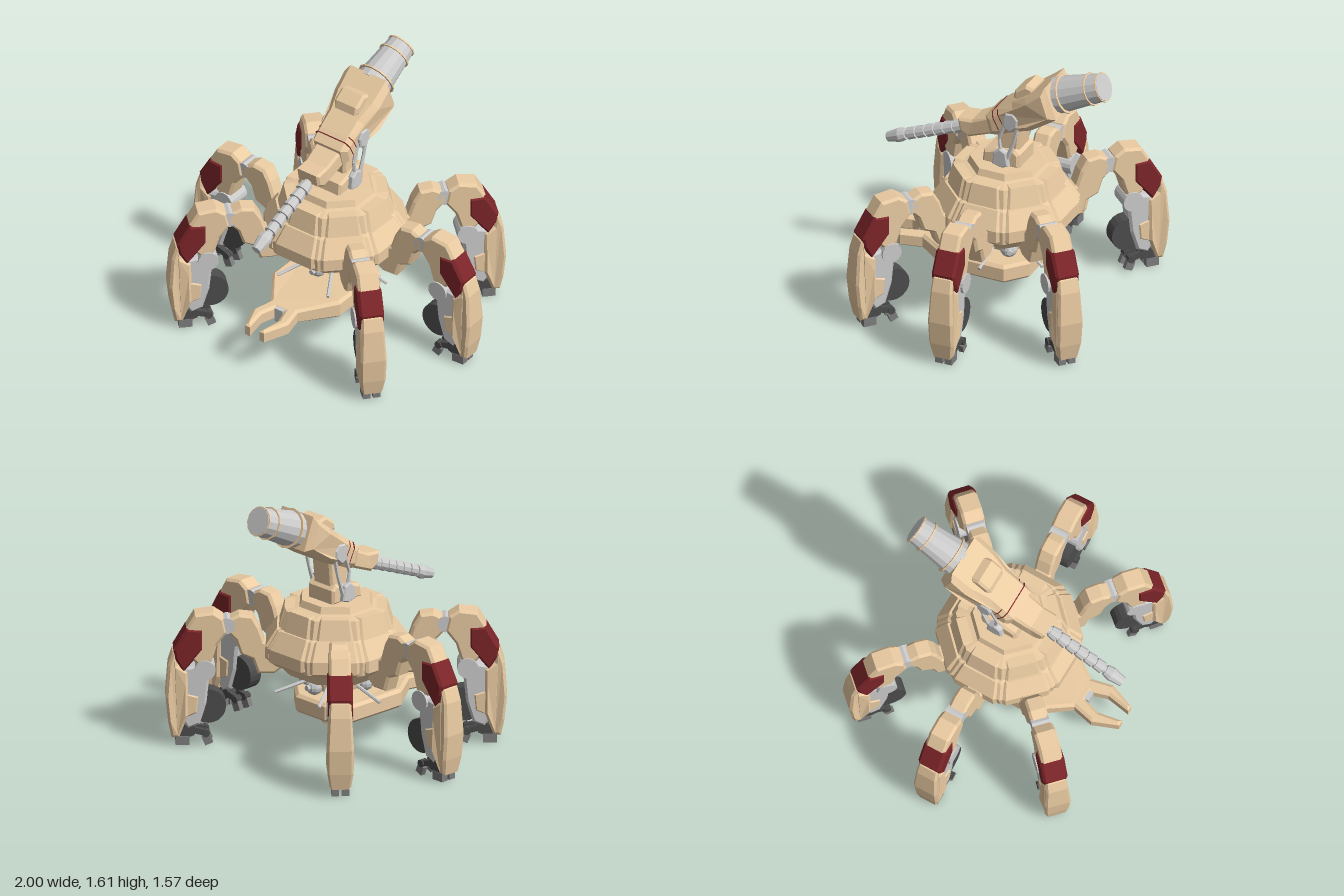
import * as THREE from 'three';

const mat = (color) => new THREE.MeshStandardMaterial({ color, flatShading: true });
const TAN = mat(0xeacba2), RED = mat(0x7c2529), GREY = mat(0xcccccc), DARK = mat(0x4c4c4c), STEEL = mat(0x7d7d7d);
const V = (x, y, z) => new THREE.Vector3(x, y, z);

function add(parent, name, geo, material) {
  const m = new THREE.Mesh(geo, material);
  m.name = name;
  parent.add(m);
  return m;
}

// chamfered plate: outline in x/y, centred thickness w along z, optional taper rule
function plateGeo(pts, w, taper, bevel = 0.015) {
  const shape = new THREE.Shape(pts.map(([x, y]) => new THREE.Vector2(x, y)));
  const g = new THREE.ExtrudeGeometry(shape, {
    depth: w - 2 * bevel, bevelEnabled: true, bevelSegments: 1,
    bevelSize: bevel, bevelThickness: bevel, bevelOffset: -bevel,
  });
  g.translate(0, 0, bevel - w / 2);
  if (taper) {
    const p = g.attributes.position;
    for (let i = 0; i < p.count; i++) p.setZ(i, p.getZ(i) * taper(p.getX(i), p.getY(i)));
    g.computeVertexNormals();
  }
  return g;
}
// the same plate with its outline in z/y, thickness along x
const sideGeo = (pts, w, taper, b) => plateGeo(pts, w, taper, b).rotateY(-Math.PI / 2);

// tapered cylinder between two points
function rod(parent, name, a, b, ra, rb, material, sides = 10) {
  const d = b.clone().sub(a);
  const m = add(parent, name, new THREE.CylinderGeometry(rb, ra, d.length(), sides), material);
  m.position.copy(a).add(b).multiplyScalar(0.5);
  m.quaternion.setFromUnitVectors(V(0, 1, 0), d.normalize());
  return m;
}

function box(parent, name, size, pos, material, rz = 0) {
  const m = add(parent, name, new THREE.BoxGeometry(...size), material);
  m.position.set(...pos);
  m.rotation.z = rz;
  return m;
}

// one leg, running out along +x
function makeLeg() {
  const leg = new THREE.Group();
  add(leg, 'upperArm', plateGeo([[0.28, 0.6], [0.31, 0.48], [0.36, 0.44], [0.46, 0.44], [0.49, 0.53],
    [0.56, 0.56], [0.59, 0.65], [0.65, 0.71], [0.65, 0.77], [0.57, 0.81], [0.49, 0.8], [0.45, 0.73],
    [0.42, 0.64]], 0.11), TAN);
  rod(leg, 'shoulderPin', V(0.64, 0.74, -0.055), V(0.64, 0.74, 0.055), 0.05, 0.05, GREY);
  add(leg, 'thigh', plateGeo([[0.64, 0.7], [0.66, 0.79], [0.72, 0.83], [0.83, 0.815], [0.88, 0.73],
    [0.86, 0.55], [0.8, 0.49], [0.73, 0.52], [0.7, 0.62]], 0.13), TAN);
  add(leg, 'kneeGuard', plateGeo([[0.78, 0.725], [0.88, 0.73], [0.955, 0.6], [0.945, 0.54], [0.895, 0.46],
    [0.78, 0.6]], 0.148), RED);
  rod(leg, 'knee', V(0.77, 0.47, -0.075), V(0.77, 0.47, 0.075), 0.062, 0.062, GREY, 16);
  add(leg, 'calf', plateGeo([[0.74, 0.46], [0.8, 0.5], [0.91, 0.48], [0.93, 0.2], [0.87, 0.1], [0.8, 0.13],
    [0.76, 0.26]], 0.12), GREY);
  add(leg, 'calfPanel', plateGeo([[0.8, 0.31], [0.91, 0.34], [0.91, 0.16], [0.81, 0.2]], 0.135), TAN);
  add(leg, 'shinArmour', plateGeo([[0.87, 0.46], [0.93, 0.5], [0.94, 0.59], [0.96, 0.58], [0.985, 0.5], [1.0, 0.3],
    [0.985, 0.15], [0.965, 0.05], [0.92, 0.05], [0.87, 0.19], [0.87, 0.38]], 0.17,
  (x, y) => (y < 0.2 ? 0.62 + 0.38 * (y / 0.2) : 1 - 0.25 * ((y - 0.2) / 0.38))), TAN);
  rod(leg, 'wheel', V(0.75, 0.24, -0.045), V(0.75, 0.24, 0.045), 0.105, 0.105, DARK, 20);
  // foot with two front toes and two splayed inner claws
  rod(leg, 'ankle', V(0.86, 0.09, -0.05), V(0.86, 0.09, 0.05), 0.04, 0.04, DARK, 8);
  for (const s of [-1, 1]) {
    box(leg, 'frontToe', [0.08, 0.055, 0.045], [0.9, 0.028, s * 0.03], STEEL);
    box(leg, 'toeJoint', [0.07, 0.06, 0.04], [0.89, 0.08, s * 0.03], DARK, -0.4);
    box(leg, 'clawArm', [0.1, 0.035, 0.032], [0.81, 0.085, s * 0.035], DARK, 0.25);
    box(leg, 'clawTip', [0.05, 0.055, 0.032], [0.755, 0.033, s * 0.04], STEEL, -0.4);
    rod(leg, 'clawJoint', V(0.765, 0.073, s * 0.015), V(0.765, 0.073, s * 0.06), 0.024, 0.024, DARK, 8);
  }
  return leg;
}

function makeBody() {
  const body = new THREE.Group();
  body.name = 'body';
  // eight-sided sloping hull
  const profile = [[0, 0.36], [0.17, 0.36], [0.19, 0.43], [0.29, 0.445], [0.36, 0.52], [0.42, 0.545], [0.43, 0.63],
    [0.365, 0.73], [0.345, 0.74], [0.315, 0.85], [0.23, 0.865], [0.215, 0.905], [0, 0.91]];
  add(body, 'hull', new THREE.LatheGeometry(profile.map(([r, y]) => new THREE.Vector2(r, y)), 8, Math.PI / 8), TAN);
  // raised panels on each hull face, narrowing upwards
  for (let i = 0; i < 8; i++) {
    const a = i * Math.PI / 4;
    const upper = add(body, 'upperPanel', plateGeo([[0.2, 0.86], [0.3, 0.86], [0.335, 0.73], [0.2, 0.73]], 0.22,
      (x, y) => 1 - 1.2 * (y - 0.73)), TAN);
    const skirt = add(body, 'skirtPanel', plateGeo([[0.25, 0.74], [0.345, 0.74], [0.412, 0.635], [0.412, 0.56],
      [0.36, 0.52], [0.25, 0.52]], 0.29, (x, y) => (y > 0.63 ? 1 - 1.6 * (y - 0.63) : 1)), TAN);
    for (const p of [upper, skirt]) p.rotation.y = a;
  }
  // sensor globes and feelers below the hull
  for (let i = 0; i < 6; i++) {
    const a = i * Math.PI / 3, s = Math.sin(a), c = Math.cos(a);
    add(body, 'sensorGlobe', new THREE.SphereGeometry(0.053, 12, 8), GREY).position.set(s * 0.175, 0.385, c * 0.175);
    rod(body, 'globeCap', V(s * 0.2, 0.385, c * 0.2), V(s * 0.24, 0.385, c * 0.24), 0.022, 0.016, GREY, 8);
    const b = a + Math.PI / 6;
    rod(body, 'feeler', V(Math.sin(b) * 0.18, 0.39, Math.cos(b) * 0.18),
      V(Math.sin(b) * 0.37, 0.335, Math.cos(b) * 0.37), 0.011, 0.01, GREY, 6);
  }
  return body;
}

// slung carrier with forked nose
function makeCarrier() {
  const g = new THREE.Group();
  g.name = 'carrier';
  const half = [[0.12, -0.21], [0.25, -0.1], [0.25, 0.29], [0.1, 0.5], [0.13, 0.63], [0.07, 0.785], [0.035, 0.785],
    [0.06, 0.64], [0.03, 0.54]];
  const pts = [...half, ...half.map(([x, z]) => [-x, z]).reverse()];
  // thicker at the middle, thinner at the nose
  add(g, 'carrierPlate', plateGeo(pts, 0.115, (x, z) => (z > 0.45 ? 0.78 : 1), 0.018).rotateX(Math.PI / 2), TAN)
    .position.y = 0.253;
  rod(g, 'carrierStem', V(0, 0.28, 0), V(0, 0.38, 0), 0.03, 0.04, GREY, 8);
  // open hexagonal port below
  const ring = [[0.07, 0.2], [0.07, 0.13], [0.1, 0.13], [0.115, 0.21]].map(([r, y]) => new THREE.Vector2(r, y));
  add(g, 'port', new THREE.LatheGeometry(ring, 6), new THREE.MeshStandardMaterial(
    { color: 0xeacba2, flatShading: true, side: THREE.DoubleSide }));
  box(g, 'noseClamp', [0.06, 0.09, 0.05], [0, 0.25, 0.53], GREY);
  return g;
}

function makeTurret() {
  const t = new THREE.Group();
  t.name = 'turret';
  add(t, 'pedestal', sideGeo([[0.11, 0.9], [0.1, 0.98], [0.03, 1.0], [-0.1, 1.02], [-0.13, 0.99], [-0.13, 0.9]], 0.22), TAN);
  add(t, 'neck', sideGeo([[0.02, 0.98], [0.03, 1.16], [-0.13, 1.22], [-0.11, 0.98]], 0.16), TAN);
  // gun housing, flared towards the rear
  add(t, 'gunHousing', sideGeo([[0.06, 1.09], [0.09, 1.21], [0.02, 1.27], [-0.08, 1.34], [-0.18, 1.41], [-0.31, 1.51],
    [-0.385, 1.31], [-0.22, 1.2], [-0.06, 1.13], [0, 1.1]], 0.33,
  (z) => (z > -0.08 ? 0.75 : Math.min(1, 0.75 + (-0.08 - z) * 2)), 0.035), TAN);
  add(t, 'gunShroud', sideGeo([[0.215, 1.02], [0.27, 1.05], [0.285, 1.13], [0.19, 1.14], [0.02, 1.22], [0.02, 1.1]],
    0.19, (z) => (z > 0.18 ? 0.85 : 1)), TAN);
  add(t, 'hatch', sideGeo([[-0.08, 1.36], [-0.09, 1.41], [-0.16, 1.46], [-0.21, 1.445], [-0.22, 1.38], [-0.15, 1.34]],
    0.17), TAN);
  // two thin painted bands
  for (const k of [0, 0.035]) {
    const band = add(t, 'stripe', plateGeo([[-0.125, -0.06], [0.125, -0.06], [0.125, 0.03], [0.1, 0.058],
      [-0.1, 0.058], [-0.125, 0.03]], 0.006, null, 0.001), RED);
    band.position.set(0, 1.2 + k * 0.6, 0.02 - k);
    band.rotation.x = 0.47;
  }
  // segmented barrel
  const a = V(0, 1.045, 0.28), b = V(0, 0.845, 0.77);
  const at = (k) => a.clone().lerp(b, k);
  rod(t, 'barrelCore', at(-0.1), at(0.95), 0.028, 0.022, GREY);
  for (let i = 0; i < 6; i++) rod(t, 'barrelSegment', at(i * 0.125), at(i * 0.125 + 0.1), 0.036, 0.043 - i * 0.001, GREY);
  rod(t, 'muzzle', at(0.76), at(0.84), 0.034, 0.044, GREY);
  rod(t, 'muzzleTip', at(0.84), at(1), 0.044, 0.03, GREY);
  // rear canister with bands
  const c = V(0, 1.405, -0.34), d = V(0, 1.53, -0.633);
  const on = (k) => c.clone().lerp(d, k);
  rod(t, 'canister', c, d, 0.112, 0.083, GREY, 14);
  for (const [k, r] of [[0.15, 0.122], [0.72, 0.1], [0.96, 0.09]]) rod(t, 'canisterBand', on(k), on(k + 0.03), r, r, TAN, 14);
  // yoke: base drum, struts and trunnion on each side
  for (const s of [-1, 1]) {
    const x = s * 0.122;
    add(t, 'baseMount', sideGeo([[0.03, 0.92], [0.02, 1.0], [-0.02, 1.03], [-0.06, 1.01], [-0.075, 0.92], [-0.03, 0.905]],
      0.04, null, 0.008), GREY).position.x = x;
    add(t, 'trunnion', sideGeo([[-0.04, 1.24], [-0.06, 1.28], [-0.11, 1.285], [-0.14, 1.25], [-0.135, 1.2], [-0.09, 1.16],
      [-0.05, 1.18]], 0.05, null, 0.008), GREY).position.x = x;
    for (const [z, bend] of [[0.01, -0.01], [-0.07, -0.105]]) {
      rod(t, 'strutLower', V(x, 0.97, (z - 0.06) / 2), V(x, 1.09, bend), 0.014, 0.01, GREY, 6);
      rod(t, 'strutUpper', V(x, 1.09, bend), V(x, 1.21, z - 0.06), 0.01, 0.014, GREY, 6);
    }
  }
  return t;
}

export function createModel() {
  const model = new THREE.Group();
  model.name = 'walker';
  model.add(makeBody(), makeCarrier(), makeTurret());
  // six legs spread around the hull
  [-48, -2.7, 39.7, 133, 179.5, 222.4].forEach((deg, i) => {
    const leg = makeLeg();
    leg.name = 'leg' + (i + 1);
    leg.rotation.y = -THREE.MathUtils.degToRad(deg);
    model.add(leg);
  });
  return model;
}
